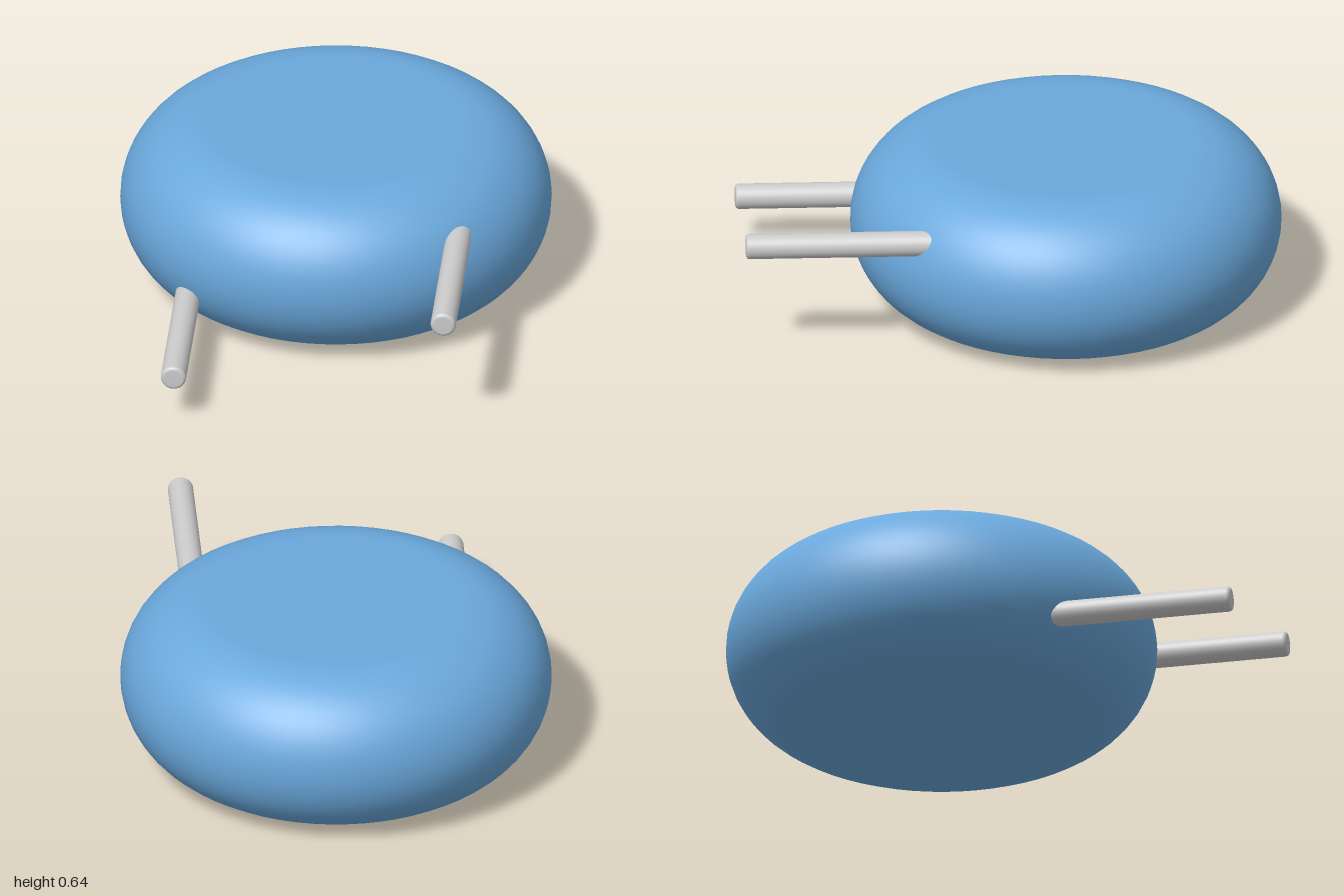
import * as THREE from 'three';

const R = 0.797, H = 0.637, BODY_Z = -0.203;

// Points of an arc in the lathe plane, from angle a to angle b
function arc(cx, cy, r, a, b, n) {
  return Array.from({ length: n + 1 }, (_, i) => {
    const t = a + (b - a) * i / n;
    return new THREE.Vector2(cx + r * Math.cos(t), cy + r * Math.sin(t));
  });
}

// Round pin along +z with softly rounded ends
function pin(name, x, y, material) {
  const r = 0.047, bevel = 0.014, z0 = 0.25, length = 1 - z0;
  const profile = [
    new THREE.Vector2(0, 0),
    ...arc(r - bevel, bevel, bevel, -Math.PI / 2, 0, 4),
    ...arc(r - bevel, length - bevel, bevel, 0, Math.PI / 2, 4),
    new THREE.Vector2(0, length),
  ];
  const mesh = new THREE.Mesh(new THREE.LatheGeometry(profile, 32), material);
  mesh.name = name;
  mesh.rotation.x = Math.PI / 2;
  mesh.position.set(x, y, z0);
  return mesh;
}

export function createModel() {
  const group = new THREE.Group();
  group.name = 'roundBodyWithPins';
  const blue = new THREE.MeshStandardMaterial({ color: 0x6aa8dc });
  const grey = new THREE.MeshStandardMaterial({ color: 0xcccccc });

  // Thick disc with a fully rounded rim and flat top and bottom
  const h = H / 2;
  const profile = [
    new THREE.Vector2(0, 0),
    ...arc(R - h, h, h, -Math.PI / 2, Math.PI / 2, 24),
    new THREE.Vector2(0, H),
  ];
  const body = new THREE.Mesh(new THREE.LatheGeometry(profile, 64), blue);
  body.name = 'body';
  body.position.z = BODY_Z;
  group.add(body);

  // Two pins, set diagonally: high on the left, low on the right
  group.add(pin('leftPin', 0.5, 0.46, grey));
  group.add(pin('rightPin', -0.5, 0.187, grey));
  return group;
}
